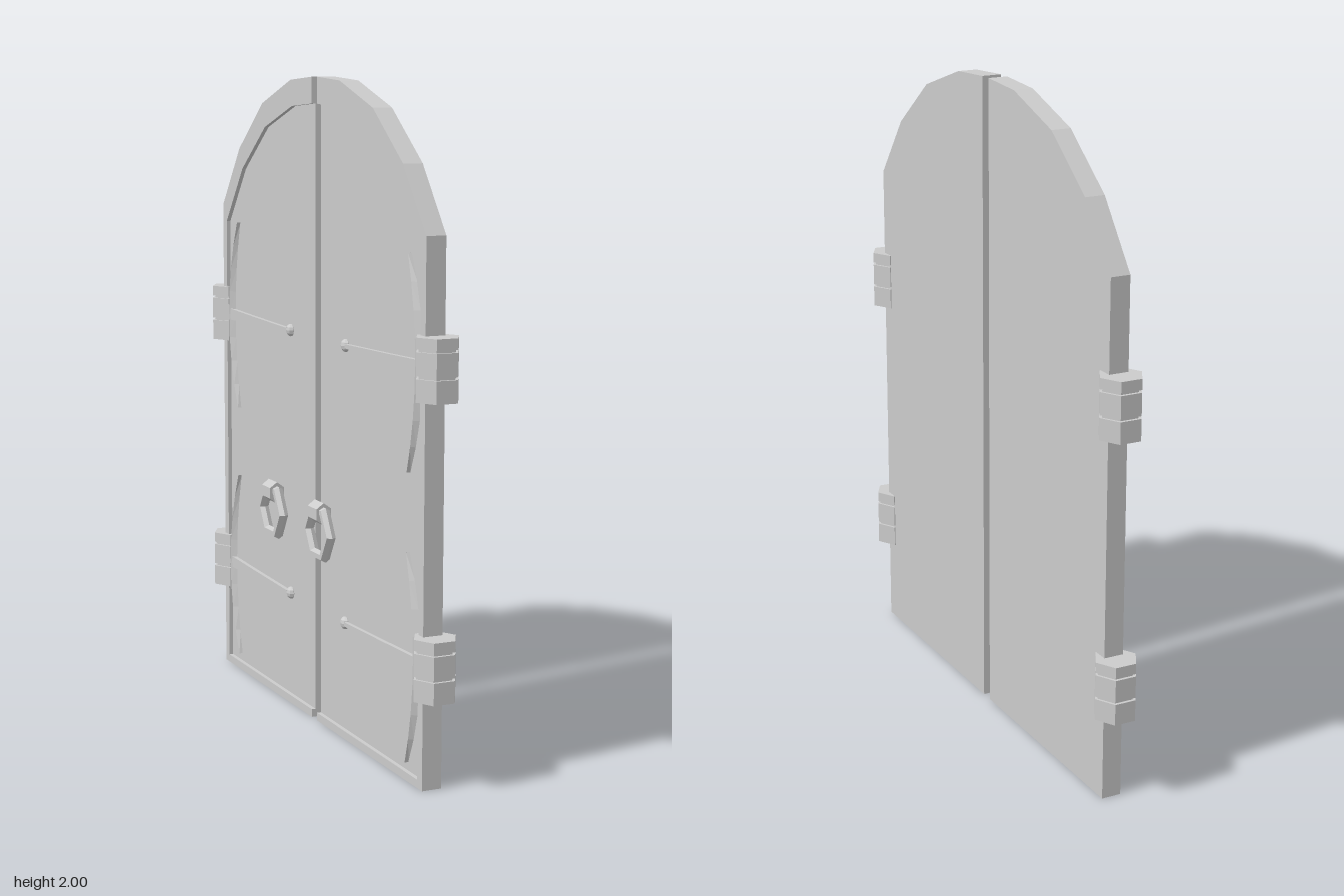
import * as THREE from 'three';

const mat = new THREE.MeshStandardMaterial({ color: 0xcccccc, flatShading: true });

function add(parent, name, geo, x = 0, y = 0, z = 0) {
  const mesh = new THREE.Mesh(geo, mat);
  mesh.name = name;
  mesh.position.set(x, y, z);
  parent.add(mesh);
  return mesh;
}

// Flat slab from a [z, y] outline, spanning x0..x1; s picks the leaf side
function slab(outline, s, x0, x1) {
  const shape = new THREE.Shape(outline.map(([z, y]) => new THREE.Vector2(z * s, y)));
  const geo = new THREE.ExtrudeGeometry(shape, { depth: x1 - x0, bevelEnabled: false });
  return geo.rotateY(-Math.PI / 2).translate(x1, 0, 0);
}

// Raised crescent: diamond-like section swept along an arc, tapering to its ends
function crescent(s) {
  const n = 8, pos = [], idx = [];
  for (let i = 0; i <= n; i++) {
    const t = (i / n) * 2 - 1;
    const z = 0.69 - 0.06 * t * t, y = 0.31 * t;
    const w = 0.003 + 0.015 * (1 - t * t), h = 0.004 + 0.012 * (1 - 0.5 * t * t);
    pos.push(0.008, y, (z - w) * s, 0.006 - h, y, z * s, 0.008, y, (z + w) * s);
  }
  for (let i = 0; i < n; i++) {
    for (let j = 0; j < 2; j++) {
      const a = i * 3 + j, b = a + 1, c = a + 3, d = a + 4;
      if (s > 0) idx.push(a, b, c, b, d, c);
      else idx.push(a, c, b, b, c, d);
    }
  }
  const geo = new THREE.BufferGeometry();
  geo.setAttribute('position', new THREE.Float32BufferAttribute(pos, 3));
  geo.setIndex(idx);
  geo.computeVertexNormals();
  return geo;
}

function makeHinge(s, y) {
  const hinge = new THREE.Group();
  hinge.name = 'hinge';
  hinge.position.y = y;
  // Hexagonal knuckles around a slimmer pin
  for (const [lo, hi] of [[-0.09, -0.025], [-0.017, 0.05], [0.058, 0.09]]) {
    const g = new THREE.CylinderGeometry(0.066, 0.066, hi - lo, 6).rotateY(Math.PI / 2);
    g.scale(1, 1, 1.04);
    add(hinge, 'knuckle', g, 0.025, (lo + hi) / 2, 0.757 * s);
  }
  const pin = new THREE.CylinderGeometry(0.058, 0.058, 0.17, 6).rotateY(Math.PI / 2);
  add(hinge, 'hingePin', pin, 0.025, 0, 0.757 * s);
  // Tapered strap, round end stud and crescent ironwork
  const strap = [[0.73, -0.02], [0.73, 0.02], [0.5, 0.013], [0.22, 0.006], [0.22, -0.006], [0.5, -0.013]];
  add(hinge, 'strap', slab(strap, s, -0.006, 0.01));
  add(hinge, 'stud', new THREE.SphereGeometry(0.02, 8, 6).scale(0.8, 1, 1), 0.005, 0, 0.205 * s);
  add(hinge, 'crescent', crescent(s)).material = ironMat;
  return hinge;
}
const ironMat = mat.clone();
ironMat.side = THREE.DoubleSide;

function makeKnocker(s) {
  const knocker = new THREE.Group();
  knocker.name = 'knocker';
  knocker.position.set(-0.07, 0.642, 0.178 * s);
  add(knocker, 'ring', new THREE.TorusGeometry(0.079, 0.017, 6, 6).rotateY(Math.PI / 2));
  // Small six-sided sleeve holding the ring
  const sleeve = new THREE.CylinderGeometry(0.034, 0.034, 0.065, 6).rotateX(Math.PI / 2);
  add(knocker, 'sleeve', sleeve.scale(0.8, 1, 1), 0, 0.062, 0);
  return knocker;
}

function makeLeaf(s) {
  const leaf = new THREE.Group();
  leaf.name = s > 0 ? 'leftLeaf' : 'rightLeaf';
  const outer = [[0.02, 0], [0.745, 0], [0.745, 1.575], [0.6, 1.765], [0.405, 1.915], [0.18, 1.99], [0.02, 2]];
  const inner = [[0.02, 1.92], [0.17, 1.91], [0.385, 1.84], [0.575, 1.7], [0.715, 1.52], [0.715, 0.025], [0.02, 0.025]];
  add(leaf, 'panel', slab(outer, s, 0.007, 0.055));
  // Raised border on the ironwork face, open along the meeting edge
  add(leaf, 'border', slab([...outer, ...inner], s, -0.006, 0.007));
  for (const y of [0.36, 1.21]) leaf.add(makeHinge(s, y));
  leaf.add(makeKnocker(s));
  return leaf;
}

export function createModel() {
  const door = new THREE.Group();
  door.name = 'archedDoubleDoor';
  for (const s of [1, -1]) door.add(makeLeaf(s));
  return door;
}
